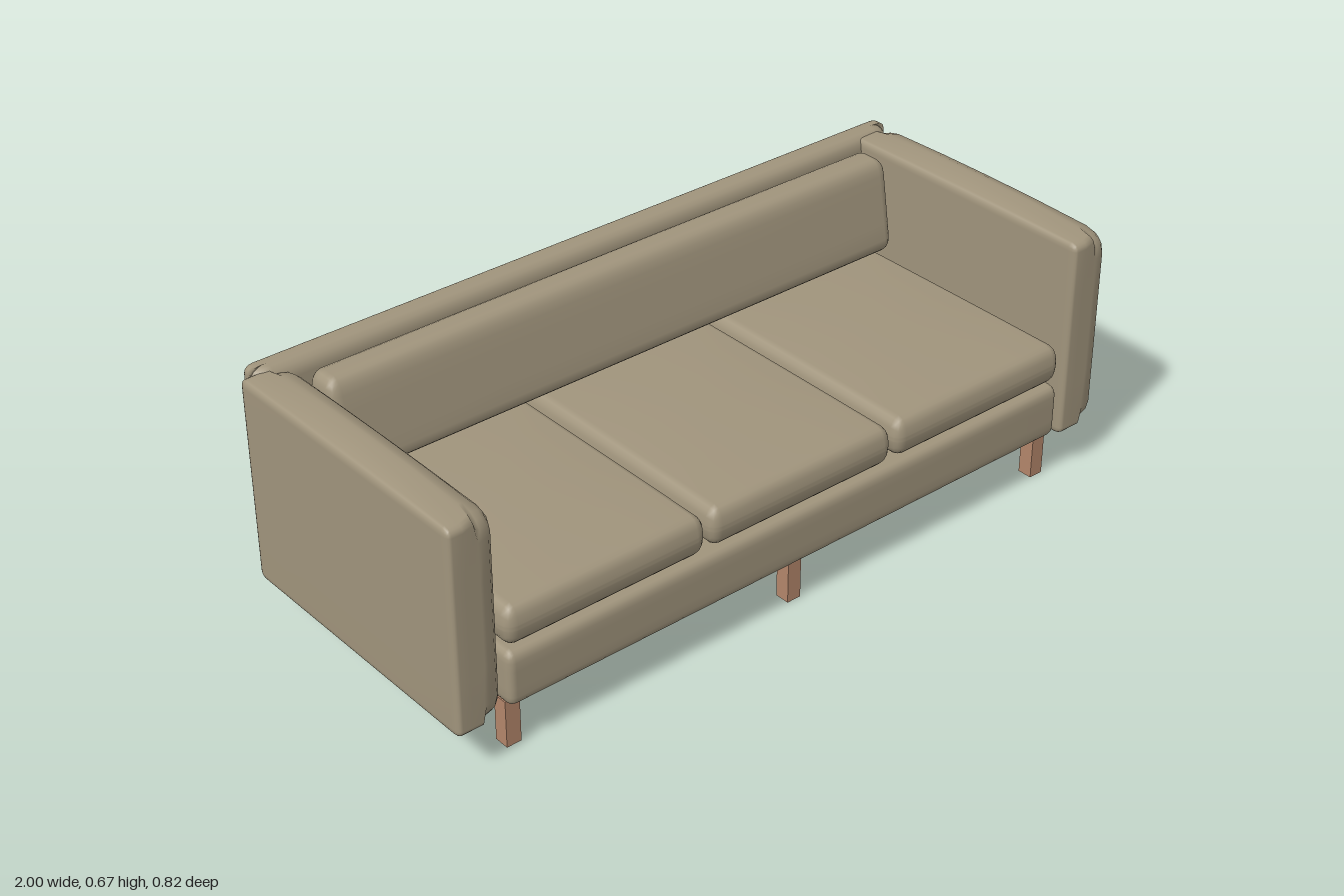
import * as THREE from 'three';
import { mergeVertices } from 'three/addons/utils/BufferGeometryUtils.js';

const SEG = 8;

// Upholstered block: near / far are the edge radii [x, y, z] on its -x and +x halves,
// crown swells the top face (and bottom, if given) gently.
function softBox(w, h, d, near, far = near, crown = 0, crownBottom = 0) {
  let geo = new THREE.BoxGeometry(2, 2, 2, SEG, SEG, SEG);
  geo.deleteAttribute('normal');
  geo.deleteAttribute('uv');
  geo = mergeVertices(geo, 1e-4);
  const half = [w / 2, h / 2, d / 2];
  const pos = geo.attributes.position;
  for (let i = 0; i < pos.count; i++) {
    const t = [pos.getX(i), pos.getY(i), pos.getZ(i)];
    const r = t[0] > 0 ? far : near;
    // outer half of the grid on each side is spent on the rounded edge
    const core = t.map((v, k) => THREE.MathUtils.clamp(v * 2, -1, 1) * (half[k] - r[k]));
    const dir = new THREE.Vector3(...t.map(v => Math.sign(v) * Math.max(0, Math.abs(v) * 2 - 1)));
    dir.normalize();
    const p = core.map((c, k) => c + dir.getComponent(k) * r[k]);
    const swell = (1 - (p[0] / half[0]) ** 2) * (1 - (p[2] / half[2]) ** 2);
    if (t[1] > 0.5) p[1] += crown * swell;
    if (t[1] < -0.5) p[1] -= crownBottom * swell;
    pos.setXYZ(i, ...p);
  }
  geo.computeVertexNormals();
  return geo;
}

export function createModel() {
  const group = new THREE.Group();
  const fabric = new THREE.MeshStandardMaterial({ color: 0xa0947c });
  fabric.name = 'fabric';
  const wood = new THREE.MeshStandardMaterial({ color: 0xb3866b });
  wood.name = 'wood';

  function add(name, geo, mat, x, y, z) {
    const mesh = new THREE.Mesh(geo, mat);
    mesh.name = name;
    mesh.position.set(x, y, z);
    group.add(mesh);
    return mesh;
  }

  // Arms: crisp on one side, softly padded on the other
  const crisp = [0.012, 0.02, 0.025];
  const armGeo = softBox(0.135, 0.543, 0.79, crisp, [0.05, 0.06, 0.065], 0.012);
  add('rightArm', armGeo, fabric, -0.9325, 0.391, 0.013);
  add('leftArm', armGeo, fabric, 0.9325, 0.391, 0.013);

  // Back panel: padded side turned to the seat
  const backGeo = softBox(0.065, 0.53, 1.95, crisp, [0.04, 0.04, 0.05]);
  add('backPanel', backGeo, fabric, 0, 0.409, -0.3765).rotation.y = -Math.PI / 2;

  // Base
  add('seatBase', softBox(1.712, 0.148, 0.733, [0.02, 0.028, 0.025]), fabric, 0, 0.197, 0.0335);

  // Three seat cushions
  const seatGeo = softBox(0.562, 0.105, 0.73, [0.03, 0.045, 0.03], undefined, 0.008, 0.002);
  ['rightSeatCushion', 'middleSeatCushion', 'leftSeatCushion'].forEach((name, i) => {
    add(name, seatGeo, fabric, (i - 1) * 0.575, 0.3335, 0.035);
  });

  // Back cushion, its front face leaning back towards the top
  const cushionGeo = softBox(1.712, 0.25, 0.135, [0.03, 0.04, 0.035], undefined, 0.004);
  const pos = cushionGeo.attributes.position;
  for (let i = 0; i < pos.count; i++) {
    const front = pos.getZ(i) / 0.135 + 0.5;
    const height = pos.getY(i) / 0.25 + 0.5;
    pos.setZ(i, pos.getZ(i) - 0.045 * front * height);
  }
  cushionGeo.computeVertexNormals();
  add('backCushion', cushionGeo, fabric, 0, 0.529, -0.2625);

  // Six square legs
  const legGeo = new THREE.BoxGeometry(0.04, 0.126, 0.04);
  for (const x of [-0.83, 0, 0.83]) {
    add('frontLeg', legGeo, wood, x, 0.063, 0.35);
    add('backLeg', legGeo, wood, x, 0.063, -0.33);
  }
  return group;
}
